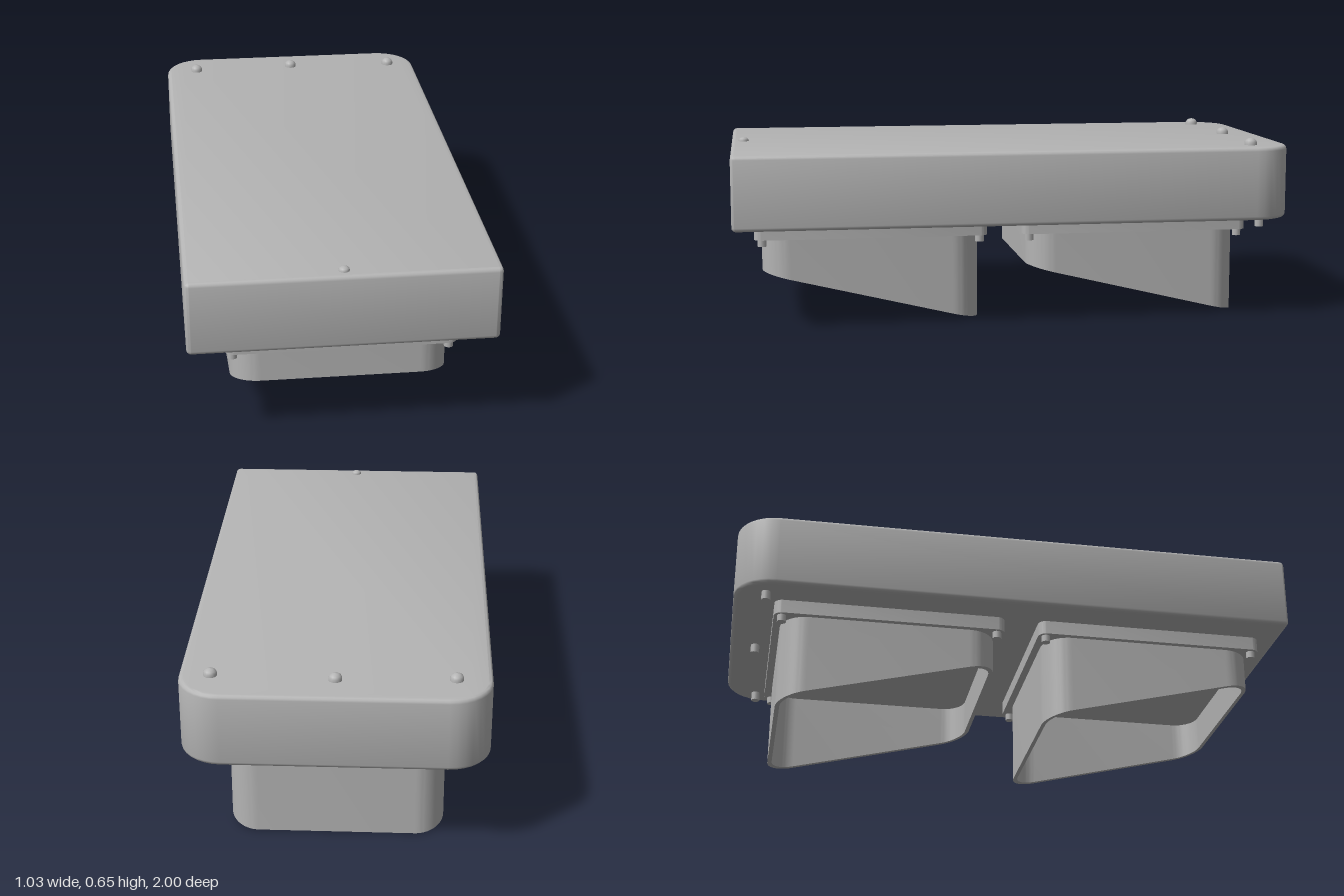
import * as THREE from 'three';
import { toCreasedNormals } from 'three/addons/utils/BufferGeometryUtils.js';

// Outline in plan (shape y = -z); rb = back corner radius, rf = front corner radius
function plan(hx, z0, z1, rb, rf, Type = THREE.Shape) {
  const s = new Type(), b = -z0, f = -z1, q = Math.PI / 2;
  s.moveTo(-hx + rf, f);
  s.lineTo(hx - rf, f);
  s.absarc(hx - rf, f + rf, rf, -q, 0);
  s.lineTo(hx, b - rb);
  s.absarc(hx - rb, b - rb, rb, 0, q);
  s.lineTo(-hx + rb, b);
  s.absarc(-hx + rb, b - rb, rb, q, 2 * q);
  s.lineTo(-hx, f + rf);
  s.absarc(-hx + rf, f + rf, rf, 2 * q, 3 * q);
  return s;
}

// Vertical extrusion between two heights, with an optional rounded edge
function slab(shape, y0, y1, bevel, segments) {
  const g = new THREE.ExtrudeGeometry(shape, {
    depth: y1 - y0 - 2 * bevel, curveSegments: segments, bevelEnabled: bevel > 0,
    bevelSize: bevel, bevelThickness: bevel, bevelSegments: 3,
  });
  g.rotateX(-Math.PI / 2);
  g.translate(0, y0 + bevel, 0);
  return g;
}

export function createModel() {
  const model = new THREE.Group();
  const grey = new THREE.MeshStandardMaterial({ color: 0xb4b4b4 });
  const add = (name, geometry, x = 0, y = 0, z = 0) => {
    const m = new THREE.Mesh(geometry, grey);
    m.name = name;
    m.position.set(x, y, z);
    model.add(m);
    return m;
  };

  // Housing: square front corners, rounded back corners
  const e = 0.014;
  add('housing', toCreasedNormals(
    slab(plan(0.515 - e, -1 + e, 1 - e, 0.13, 0.003), 0.36, 0.622, e, 4), 0.6));

  // Two lamp hoods: mounting flange, slant-cut open visor, corner bolts
  const cornerBolt = new THREE.CylinderGeometry(0.016, 0.016, 0.025, 10);
  for (const [z0, z1] of [[-0.855, -0.027], [0.097, 0.925]]) {
    add('flange', toCreasedNormals(
      slab(plan(0.388, z0, z1, 0.03, 0.03), 0.31, 0.362, 0, 5), 0.6));

    const back = z0 + 0.026, front = z1 - 0.028, wall = 0.016;
    const ring = plan(0.368, back, front, 0.1, 0.1);
    ring.holes.push(plan(0.368 - wall, back + wall, front - wall, 0.085, 0.085, THREE.Path));
    const visor = slab(ring, 0, 0.312, 0, 10);
    const p = visor.attributes.position;
    for (let i = 0; i < p.count; i++) {
      // The lower rim rises from back to front
      if (p.getY(i) < 0.1) p.setY(i, 0.187 * (p.getZ(i) - back) / (front - back));
    }
    add('visor', toCreasedNormals(visor, 0.6));

    for (const x of [-0.362, 0.362]) {
      for (const z of [z0 + 0.028, z1 - 0.028]) add('flangeBolt', cornerBolt, x, 0.298, z);
    }
  }

  // Domed screws on the lid, and a smaller one near the front
  const dome = new THREE.LatheGeometry([
    [0.023, 0], [0.023, 0.011], [0.019, 0.019], [0.011, 0.025], [0, 0.027],
  ].map(([r, y]) => new THREE.Vector2(r, y)), 14);
  for (const [x, z] of [[-0.395, -0.86], [0, -0.875], [0.41, -0.86]]) {
    add('lidScrew', dome, x, 0.62, z);
  }
  add('frontScrew', dome, 0, 0.62, 0.955).scale.set(0.8, 0.6, 0.8);

  // Bolts under the back edge
  const underBolt = new THREE.CylinderGeometry(0.016, 0.016, 0.034, 10);
  for (const [x, z] of [[-0.437, -0.888], [0, -0.908], [0.437, -0.888]]) {
    add('undersideBolt', underBolt, x, 0.345, z);
  }
  return model;
}
